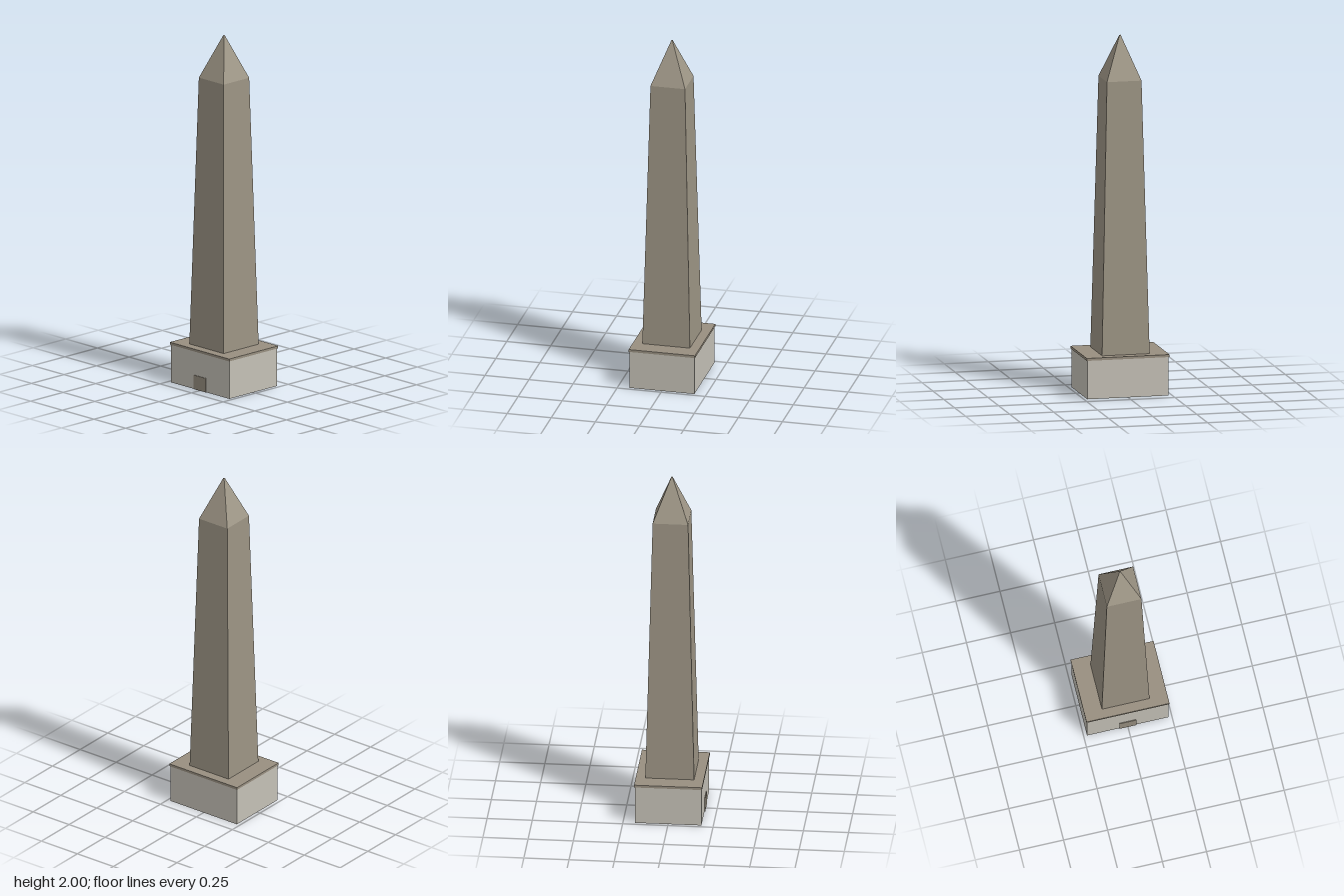
import * as THREE from 'three';

export function createModel() {
  const model = new THREE.Group();
  const paint = (name, color) => {
    const m = new THREE.MeshStandardMaterial({ color });
    m.name = name;
    return m;
  };
  const shaftStone = paint('shaft stone', 0x9c9484);
  const capStone = paint('cap stone', 0xa09888);
  const paleStone = paint('pale base stone', 0xc4c0b6);
  const slabStone = paint('slab stone', 0x988f80);
  const doorStone = paint('door stone', 0x958d7e);

  const add = (name, geometry, material, y, z = 0) => {
    const mesh = new THREE.Mesh(geometry, material);
    mesh.name = name;
    mesh.position.set(0, y, z);
    model.add(mesh);
  };

  // Square tapering block with flat faces, given half widths and height range
  const taper = (bottom, top, y0, y1) => {
    const g = new THREE.CylinderGeometry(top * Math.SQRT2, bottom * Math.SQRT2, y1 - y0, 4);
    g.rotateY(Math.PI / 4);
    g.translate(0, (y0 + y1) / 2, 0);
    const flat = g.toNonIndexed();
    flat.computeVertexNormals();
    return flat;
  };

  // Rectangular base with its thin overhanging slab
  add('base', new THREE.BoxGeometry(0.462, 0.216, 0.368), paleStone, 0.108);
  add('baseSlab', new THREE.BoxGeometry(0.47, 0.014, 0.376), slabStone, 0.223);

  // Doorway plate on the front
  add('door', new THREE.BoxGeometry(0.094, 0.08, 0.006), doorStone, 0.04, 0.185);

  // Obelisk shaft and pointed cap with a tiny blunt tip
  add('shaft', taper(0.135, 0.098, 0.23, 1.757), shaftStone, 0);
  add('pointedCap', taper(0.098, 0.003, 1.757, 2), capStone, 0);

  return model;
}
